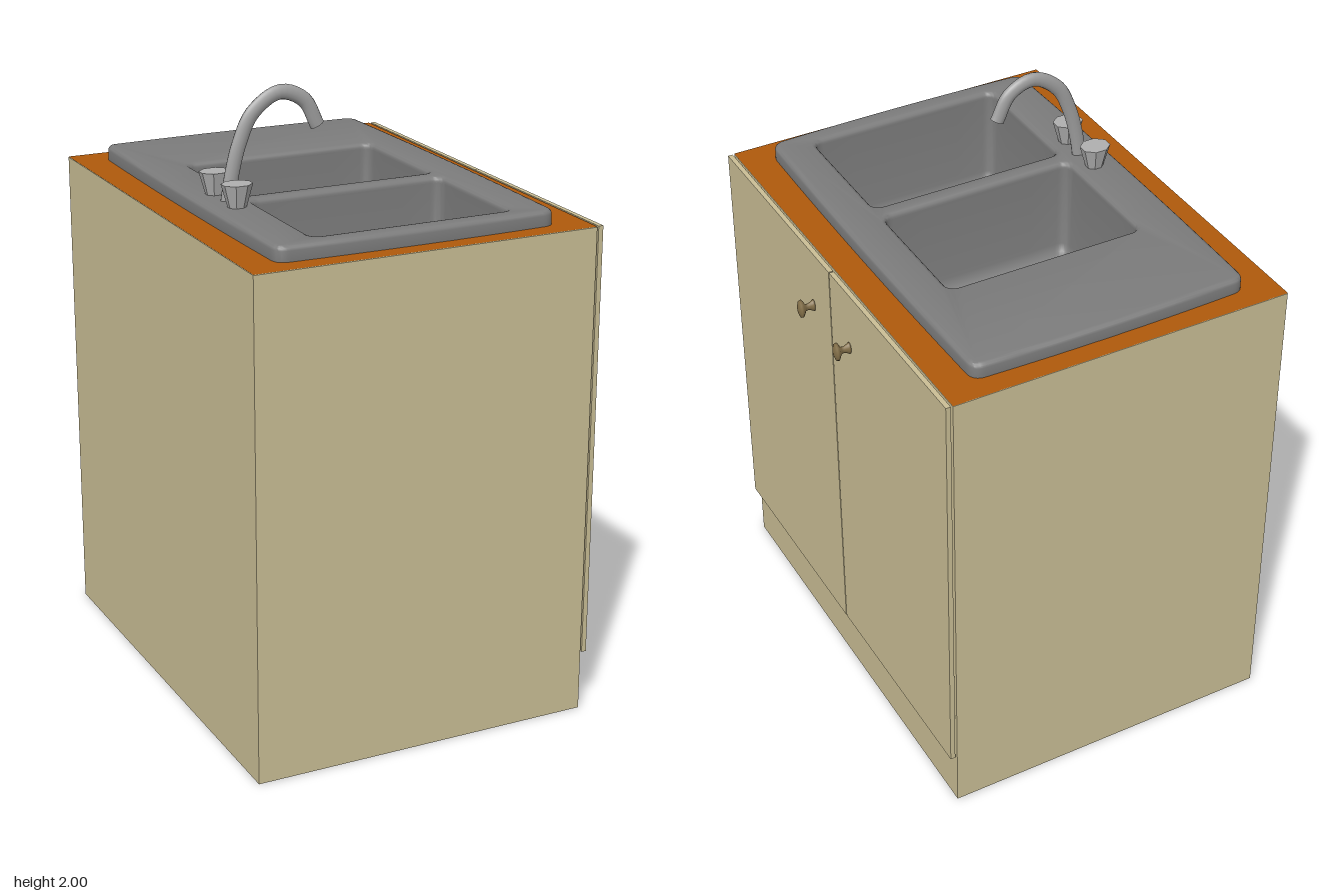
import * as THREE from 'three';
import { toCreasedNormals } from 'three/addons/utils/BufferGeometryUtils.js';

const mat = (color, extra = {}) => new THREE.MeshStandardMaterial({ color, ...extra });
const TOP = 1.61;
const BASINS = [{ x: -0.03, z: -0.0925, w: 0.66, d: 0.435 }, { x: -0.03, z: 0.405, w: 0.66, d: 0.44 }];

// Rounded rectangle in plan (shape y = -z); bow pushes the sides outwards
function roundedRect(x, z, w, d, r, bow = 0, Type = THREE.Shape) {
  const s = new Type(), a = w / 2, b = d / 2, y = -z;
  s.moveTo(x - a + r, y - b);
  s.quadraticCurveTo(x, y - b - bow, x + a - r, y - b);
  s.quadraticCurveTo(x + a, y - b, x + a, y - b + r);
  s.quadraticCurveTo(x + a + bow, y, x + a, y + b - r);
  s.quadraticCurveTo(x + a, y + b, x + a - r, y + b);
  s.quadraticCurveTo(x, y + b + bow, x - a + r, y + b);
  s.quadraticCurveTo(x - a, y + b, x - a, y + b - r);
  s.quadraticCurveTo(x - a - bow, y, x - a, y - b + r);
  s.quadraticCurveTo(x - a, y - b, x - a + r, y - b);
  return s;
}

// Bowl skin lofted from shrinking rounded rectangles, closed by a floor
function basinGeometry({ x, z, w, d }) {
  const levels = [[1.64, 0], [1.36, 0.008], [1.335, 0.014], [1.322, 0.026], [1.318, 0.045]];
  const pos = [], idx = [];
  let n = 0;
  for (const [y, inset] of levels) {
    const pts = roundedRect(x, z, w - 2 * inset, d - 2 * inset, 0.035).getPoints(6);
    pts.pop();
    n = pts.length;
    pts.forEach(p => pos.push(x + (p.x - x), y, -p.y));
  }
  for (let l = 0; l < levels.length - 1; l++) {
    for (let i = 0; i < n; i++) {
      const a = l * n + i, b = l * n + (i + 1) % n;
      idx.push(a, a + n, b, b, a + n, b + n);
    }
  }
  const centre = levels.length * n, last = centre - n;
  pos.push(x, 1.316, z);
  for (let i = 0; i < n; i++) idx.push(last + i, centre, last + (i + 1) % n);
  const g = new THREE.BufferGeometry();
  g.setAttribute('position', new THREE.Float32BufferAttribute(pos, 3));
  g.setIndex(idx);
  return toCreasedNormals(g, 0.7);
}

export function createModel() {
  const model = new THREE.Group();
  const wood = mat(0xcbbf96), orange = mat(0xb05a0c, { side: THREE.DoubleSide });
  const steel = mat(0x7c7c7c), steelSheet = mat(0x7c7c7c, { side: THREE.DoubleSide });
  const chrome = mat(0xa0a0a0), brass = mat(0x85714a);

  const add = (name, geometry, material, parent = model) => {
    const m = new THREE.Mesh(geometry, material);
    m.name = name;
    parent.add(m);
    return m;
  };
  // Box given by its minimum and maximum corners
  const box = (name, x0, x1, y0, y1, z0, z1, parent) => {
    const g = new THREE.BoxGeometry(x1 - x0, y1 - y0, z1 - z0);
    g.translate((x0 + x1) / 2, (y0 + y1) / 2, (z0 + z1) / 2);
    return add(name, g, wood, parent);
  };

  // Hollow cabinet
  const cabinet = new THREE.Group();
  cabinet.name = 'cabinet';
  model.add(cabinet);
  const h = TOP - 0.002, t = 0.02;
  box('floorPanel', -0.605, 0.525, 0, t, -0.755, 0.755, cabinet);
  box('wallPanel', -0.605, -0.605 + t, t, h, -0.755, 0.755, cabinet);
  box('doorSidePanel', 0.525 - t, 0.525, t, h, -0.755, 0.755, cabinet);
  box('leftSidePanel', -0.605 + t, 0.525 - t, t, h, 0.755 - t, 0.755, cabinet);
  box('rightSidePanel', -0.605 + t, 0.525 - t, t, h, -0.755, -0.755 + t, cabinet);

  // Countertop sheet with basin openings
  const counter = new THREE.Shape([[-0.605, -0.755], [0.525, -0.755], [0.525, 0.755], [-0.605, 0.755]]
    .map(p => new THREE.Vector2(...p)));
  counter.holes = BASINS.map(b => roundedRect(b.x, b.z, b.w + 0.01, b.d + 0.01, 0.035, 0, THREE.Path));
  add('countertop', new THREE.ShapeGeometry(counter, 6).rotateX(-Math.PI / 2).translate(0, TOP, 0), orange);

  // Sink deck with softened edges
  const deck = roundedRect(-0.04, 0.003, 0.924, 1.37, 0.045, 0.016);
  deck.holes = BASINS.map(b => roundedRect(b.x, b.z, b.w, b.d, 0.035, 0, THREE.Path));
  const bevel = 0.015;
  const deckGeometry = new THREE.ExtrudeGeometry(deck, {
    depth: 0.05, bevelThickness: bevel, bevelSize: bevel, bevelOffset: -bevel, bevelSegments: 3, curveSegments: 8,
  });
  deckGeometry.rotateX(-Math.PI / 2).translate(0, 1.658 - 0.05 - bevel, 0);
  add('sinkDeck', toCreasedNormals(deckGeometry, 0.7), steel);
  BASINS.forEach(b => add('basin', basinGeometry(b), steelSheet));

  // Doors
  box('rightDoor', 0.532, 0.548, 0.195, TOP, -0.755, -0.004, model);
  box('leftDoor', 0.532, 0.548, 0.195, TOP, 0, 0.752, model);

  // Oval door knobs
  const knobProfile = [[0, 0], [0.021, 0], [0.018, 0.006], [0.011, 0.02], [0.013, 0.03], [0.032, 0.041], [0.03, 0.048], [0.016, 0.053], [0, 0.054]]
    .map(p => new THREE.Vector2(...p));
  const knobGeometry = new THREE.LatheGeometry(knobProfile, 16).rotateZ(-Math.PI / 2).scale(1, 1, 0.66);
  for (const z of [0.125, -0.128]) add('knob', knobGeometry, brass).position.set(0.547, 1.41, z);

  // Swan-neck faucet, narrower across than along
  const faucet = new THREE.Group();
  faucet.name = 'faucet';
  faucet.position.z = 0.156;
  faucet.scale.z = 0.68;
  model.add(faucet);
  const path = new THREE.CatmullRomCurve3([[-0.422, 1.64], [-0.407, 1.73], [-0.38, 1.83], [-0.335, 1.92],
    [-0.245, 1.976], [-0.163, 1.945], [-0.118, 1.862]].map(([x, y]) => new THREE.Vector3(x, y, 0)));
  add('spout', new THREE.TubeGeometry(path, 32, 0.024, 12), chrome, faucet);
  const tip = add('spoutEnd', new THREE.CircleGeometry(0.024, 12), chrome, faucet);
  tip.position.copy(path.getPoint(1));
  tip.lookAt(tip.position.clone().add(path.getTangent(1)));
  tip.rotation.set(0, 0, 0);
  tip.quaternion.setFromUnitVectors(new THREE.Vector3(0, 0, 1), path.getTangent(1));

  // Faceted tap handles
  const tapMaterial = mat(0xb0b0b0, { flatShading: true });
  const tapGeometry = new THREE.CylinderGeometry(0.042, 0.022, 0.085, 8).rotateY(Math.PI / 8).scale(1.2, 1, 1);
  for (const z of [0.068, 0.238]) add('tapHandle', tapGeometry, tapMaterial).position.set(-0.425, 1.688, z);

  return model;
}
